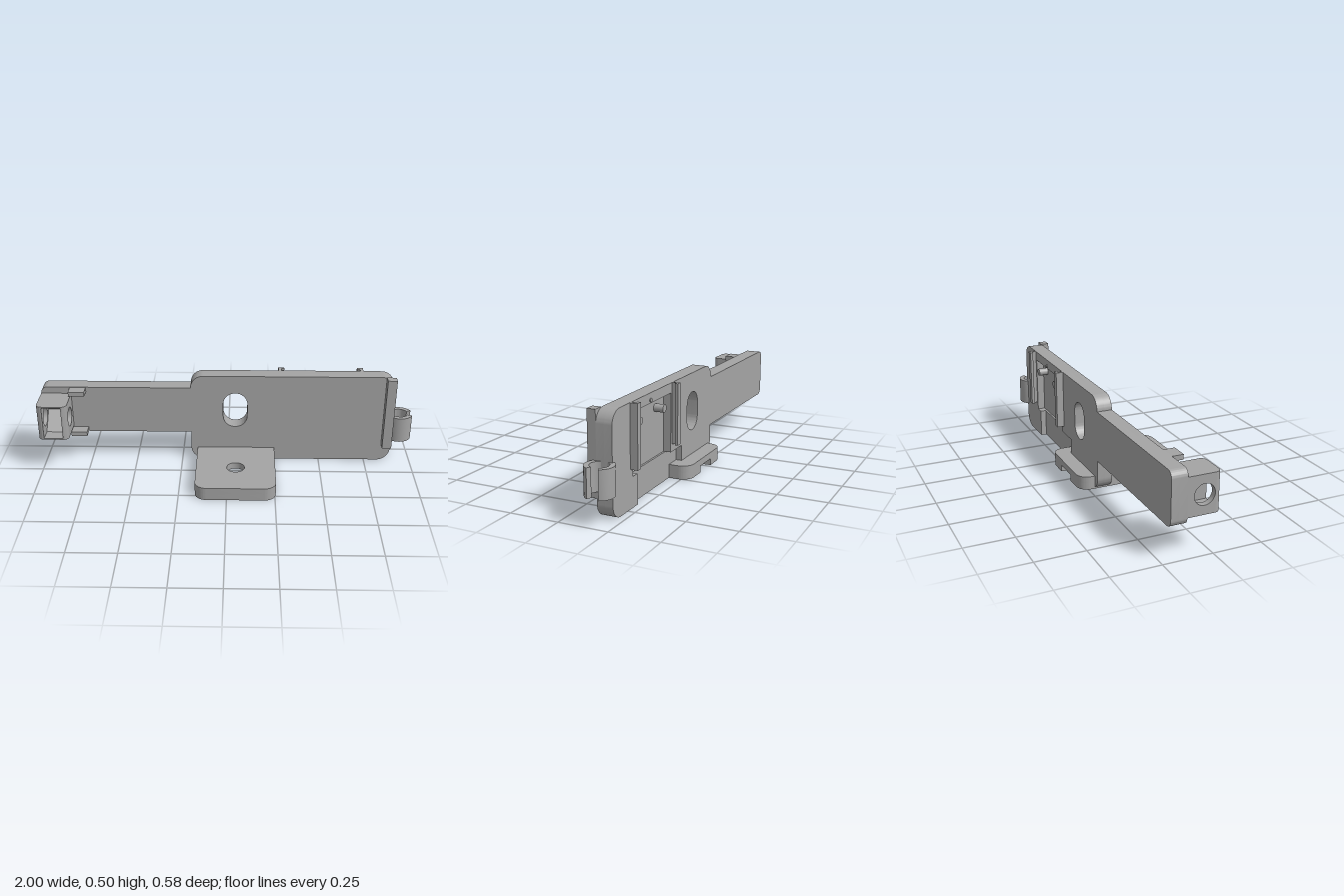
import * as THREE from 'three';
import { toCreasedNormals } from 'three/addons/utils/BufferGeometryUtils.js';

const plastic = new THREE.MeshStandardMaterial({ color: 0xa4a4a4 });
plastic.name = 'grey plastic';

// Closed outline from [x, y, radius] corners, rounded where a radius is given
function outline(points, Type = THREE.Shape) {
  const s = new Type(), n = points.length;
  points.forEach(([x, y, r = 0], i) => {
    const toward = ([px, py], d) => {
      const l = Math.hypot(px - x, py - y);
      return [x + (px - x) / l * d, y + (py - y) / l * d];
    };
    const prev = points[(i + n - 1) % n], next = points[(i + 1) % n];
    const a = toward(prev, r), b = toward(next, r);
    if (i === 0) s.moveTo(...a); else s.lineTo(...a);
    if (r) s.bezierCurveTo(...toward(prev, r * 0.45), ...toward(next, r * 0.45), ...b);
  });
  s.closePath();
  return s;
}

function circleHole(x, y, r) {
  return new THREE.Path().absarc(x, y, r, 0, Math.PI * 2, true);
}

export function createModel() {
  const model = new THREE.Group();
  model.name = 'sensorBracket';

  const add = (name, geometry) => {
    const m = new THREE.Mesh(geometry, plastic);
    m.name = name;
    model.add(m);
    return m;
  };
  const extrude = (shape, depth) =>
    new THREE.ExtrudeGeometry(shape, { depth, bevelEnabled: false, curveSegments: 16 });
  const finish = g => toCreasedNormals(g, 0.5);
  // Outline in x, y; pushed along z
  const slabZ = (name, shape, z0, z1) =>
    add(name, finish(extrude(shape, z1 - z0).translate(0, 0, z0)));
  // Outline in x, -z; pushed up along y
  const slabY = (name, shape, y0, y1) =>
    add(name, finish(extrude(shape, y1 - y0).rotateX(-Math.PI / 2).translate(0, y0, 0)));
  // Outline in z, y; pushed along x
  const slabX = (name, shape, x0, x1) =>
    add(name, finish(extrude(shape, x1 - x0).rotateY(-Math.PI / 2).translate(x1, 0, 0)));
  const box = (name, x0, x1, y0, y1, z0, z1) =>
    add(name, new THREE.BoxGeometry(x1 - x0, y1 - y0, z1 - z0)
      .translate((x0 + x1) / 2, (y0 + y1) / 2, (z0 + z1) / 2));

  // Main plate with arm: solid front layer, back layer with a pocket open at the bottom
  const armAndTop = [
    [0.89, 0, 0.07], [0.89, 0.5, 0.07], [-0.2, 0.5, 0.069], [-0.2, 0.43],
    [-1, 0.43, 0.035], [-1, 0.165, 0.035], [-0.2, 0.165], [-0.2, 0, 0.07],
  ];
  const pocket = [
    [0.17, 0], [0.17, 0.15], [0.3, 0.15], [0.3, 0.45],
    [0.7, 0.45], [0.7, 0.15], [0.655, 0.15], [0.655, 0],
  ];
  const slot = () => outline([
    [-0.025, 0.2, 0.064], [-0.025, 0.4, 0.064], [0.105, 0.4, 0.064], [0.105, 0.2, 0.064],
  ], THREE.Path);
  const front = outline(armAndTop), back = outline([...armAndTop, ...pocket]);
  front.holes.push(slot());
  back.holes.push(slot());
  slabZ('plateFront', front, -0.175, -0.135);
  slabZ('plateBack', back, -0.215, -0.175);
  box('pocketStep', 0.17, 0.655, 0, 0.15, -0.185, -0.175);

  // Pegs in the pocket
  for (const [x, y, r] of [[0.64, 0.395, 0.02], [0.39, 0.395, 0.02], [0.52, 0.465, 0.01]]) {
    const len = r > 0.015 ? 0.05 : 0.045;
    add('pocketPeg', new THREE.CylinderGeometry(r, r, len, 20)
      .rotateX(Math.PI / 2).translate(x, y, -0.175 - len / 2));
  }

  // Hooked rails either side of the pocket
  for (const [x, side] of [[0.27, 1], [0.725, -1]]) {
    const at = d => x + side * d;
    const span = (a, b) => [Math.min(at(a), at(b)), Math.max(at(a), at(b))];
    box('rail', ...span(0, 0.016), 0.19, 0.5, -0.24, -0.215);
    box('railHook', ...span(0, 0.032), 0.19, 0.5, -0.253, -0.238);
  }

  // Square lip on the front near the clip, closing the plate's rounded top corner
  box('frontLip', 0.84, 0.89, 0.095, 0.5, -0.135, -0.092);

  // Foot: holed upper layer over a lower layer with a channel on the underside
  const footCorners = [
    [0.255, -0.29, 0.06], [0.255, 0.295, 0.06],
  ];
  const footEnd = [[-0.165, 0.295, 0.06], [-0.165, -0.29, 0.06]];
  const upper = outline([...footCorners, ...footEnd]);
  upper.holes.push(circleHole(0.045, -0.08, 0.047));
  slabY('footTop', upper, 0.035, 0.07);
  const lower = outline([
    ...footCorners,
    [0.11, 0.295], [0.11, -0.02], [0.135, -0.045, 0.01], [0.135, -0.17, 0.08],
    [-0.045, -0.17, 0.08], [-0.045, -0.045, 0.01], [-0.02, -0.02], [-0.02, 0.295],
    ...footEnd,
  ]);
  slabY('footBase', lower, 0, 0.035);

  // Sensor housing at the arm's end: two holed cheeks with rounded front edges
  for (const [x0, x1, outer] of [[-1, -0.97, -1], [-0.87, -0.84, 1]]) {
    const cheek = outline([[-0.135, 0.2], [0, 0.2], [0, 0.393], [-0.135, 0.393]]);
    cheek.holes.push(circleHole(-0.05, 0.297, 0.057));
    // the hole slightly passes the start of the rounded edge, so keep it inside
    cheek.holes[0] = circleHole(-0.052, 0.297, 0.0515);
    slabX('housingCheek', cheek, x0, x1);
    const inner = outer < 0 ? x1 : x0, edge = outer < 0 ? x0 : x1;
    const corners = [[inner, 0], [inner, -0.03], [edge, -0.03, 0.028], [edge, 0]];
    slabY('housingFrontEdge', outline(corners), 0.2, 0.393);
  }
  // Roof and floor with wedges that form a V-shaped hollow
  for (const s of [1, -1]) {
    const y = d => 0.2965 + s * d;
    slabX(s > 0 ? 'housingRoof' : 'housingFloor', outline([
      [-0.135, y(0.0965)], [0.03, y(0.0965)], [0.03, y(0.09)], [-0.045, y(0.09)], [-0.135, y(0)],
    ]), -0.97, -0.87);
  }

  // Small tabs beside the housing
  box('upperTab', -0.845, -0.76, 0.403, 0.428, -0.135, -0.076);
  box('lowerTab', -0.845, -0.76, 0.165, 0.19, -0.135, -0.076);

  // C-shaped cable clip, open outwards
  const gap = 0.42, clip = new THREE.Shape();
  clip.absarc(0.932, 0.175, 0.07, gap, Math.PI * 2 - gap, false);
  clip.absarc(0.932, 0.175, 0.045, Math.PI * 2 - gap, gap, true);
  clip.closePath();
  slabY('cableClip', clip, 0.13, 0.27);

  return model;
}
